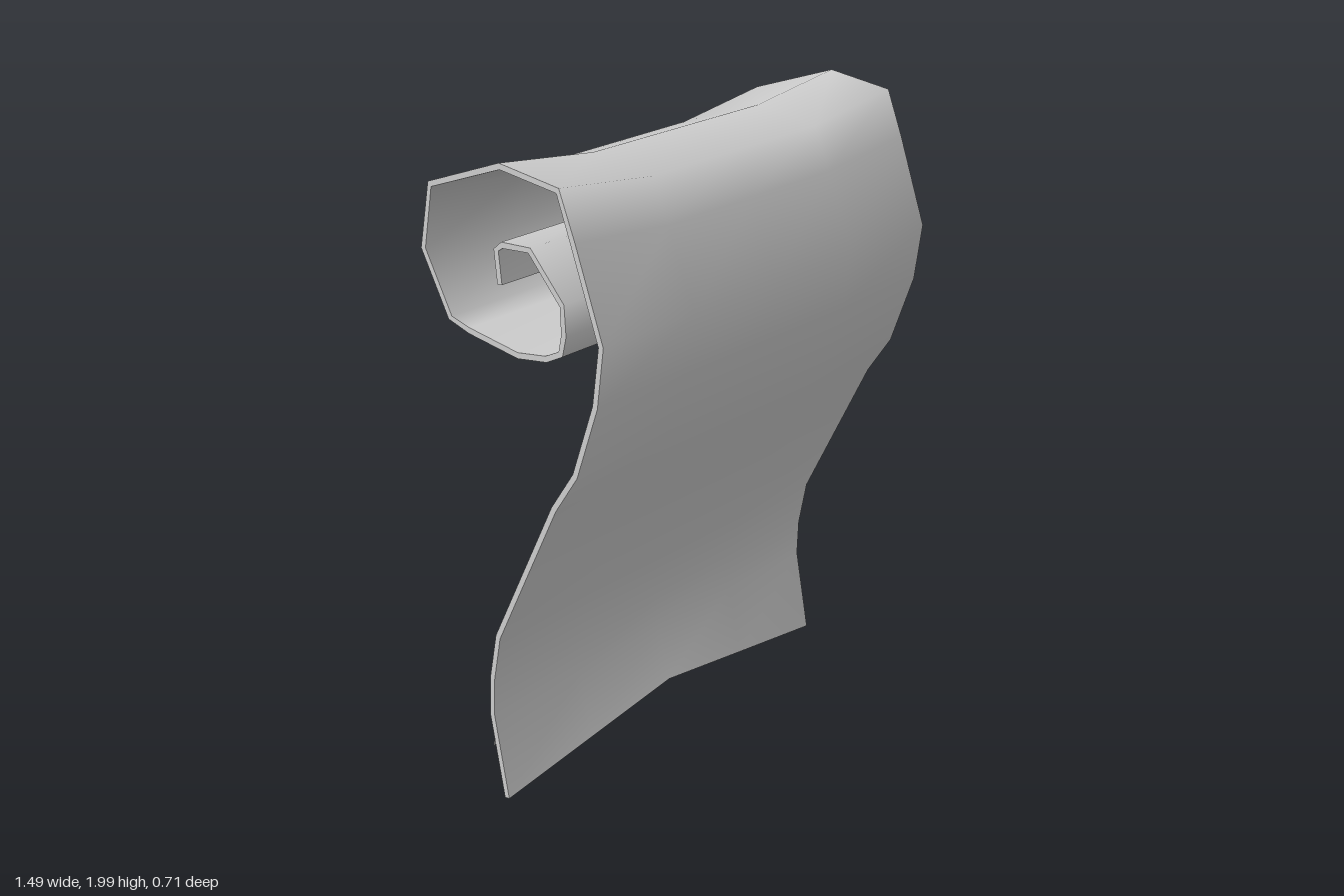
import * as THREE from 'three';
import { mergeGeometries, toCreasedNormals } from 'three/addons/utils/BufferGeometryUtils.js';

// Surface through rows of points; front side is (column direction) x (row direction)
function grid(rows) {
  const n = rows[0].length, index = [];
  for (let i = 0; i < rows.length - 1; i++) {
    for (let j = 0; j < n - 1; j++) {
      const a = i * n + j, b = a + 1, c = a + n, d = c + 1;
      index.push(a, b, d, a, d, c);
    }
  }
  const g = new THREE.BufferGeometry();
  g.setAttribute('position', new THREE.Float32BufferAttribute(rows.flat(2), 3));
  g.setIndex(index);
  g.computeVertexNormals();
  return g;
}

// Side profile of the parchment as [z, y], from the lower edge up into the curl
const PROFILE = [
  [-0.065, 0.01], [-0.115, 0.28], [-0.11, 0.4], [-0.08, 0.55], [0.035, 0.78],
  [0.16, 1.03], [0.245, 1.155], [0.325, 1.38], [0.35, 1.56], [0.255, 1.83],
  [0.2, 1.97], [-0.02, 2.0], [-0.31, 1.9], [-0.35, 1.7], [-0.25, 1.51],
  [-0.16, 1.485], [0.03, 1.455], [0.14, 1.47], [0.2, 1.5], [0.215, 1.56],
  [0.21, 1.65], [0.09, 1.785], [-0.02, 1.78], [-0.05, 1.755], [-0.04, 1.655],
];
const COLUMNS = [-0.745, -0.37, 0, 0.37, 0.745];
const THICKNESS = 0.018;

function sheetGeometry() {
  const outer = [], inner = [];
  PROFILE.forEach(([z, y], i) => {
    const a = PROFILE[Math.max(i - 1, 0)], b = PROFILE[Math.min(i + 1, PROFILE.length - 1)];
    const len = Math.hypot(b[0] - a[0], b[1] - a[1]);
    const nz = (b[1] - a[1]) / len, ny = -(b[0] - a[0]) / len;
    const o = [], n = [];
    COLUMNS.forEach((x, j) => {
      const middle = 1 - Math.abs(j - 2) / 2;
      // lower edge arches up, top of the roll sags, back of the roll skews
      let dy = 0, dz = 0;
      if (i === 0) dy = 0.1 * middle;
      if (i >= 9 && i <= 13) dy = -0.045 * Math.min(1, middle * 2) * THREE.MathUtils.clamp((y - 1.6) / 0.3, 0, 1);
      if (i >= 12 && i <= 14) dz = -0.01 * x / 0.745;
      o.push([x, y + dy, z + dz]);
      n.push([x, y + dy - ny * THICKNESS, z + dz - nz * THICKNESS]);
    });
    outer.push(o);
    inner.push(n);
  });
  const end = PROFILE.length - 1, right = COLUMNS.length - 1;
  return mergeGeometries([
    grid(outer),
    grid(inner.map((r) => [...r].reverse())),
    grid(outer.map((r, i) => [inner[i][0], r[0]])),
    grid(outer.map((r, i) => [r[right], inner[i][right]])),
    grid([inner[0], outer[0]]),
    grid([outer[end], inner[end]]),
  ]);
}

// Pressed wax disc with an uneven raised rim
function sealGeometry() {
  const profile = [[0, -0.005], [0.18, -0.005], [0.205, 0.008], [0.2, 0.026], [0.18, 0.034],
    [0.165, 0.03], [0.155, 0.016], [0, 0.016]].map(([r, y]) => new THREE.Vector2(r, y));
  const g = new THREE.LatheGeometry(profile, 32);
  const p = g.attributes.position;
  for (let i = 0; i < p.count; i++) {
    const x = p.getX(i), z = p.getZ(i), r = Math.hypot(x, z);
    if (r < 0.17) continue;
    const a = Math.atan2(z, x);
    const k = 1 + 0.05 * Math.sin(5 * a + 0.6) + 0.03 * Math.cos(2 * a + 1);
    p.setX(i, x * k);
    p.setZ(i, z * k);
  }
  return toCreasedNormals(g, 0.6);
}

// Fork-tailed ribbon, bent outward below the seal
function ribbonGeometry(side) {
  const at = (x, y, z) => [-0.485 + side * x, y, z];
  return grid([
    [at(0.0, 0.42, -0.135), at(0.06, 0.42, -0.135), at(0.13, 0.42, -0.135)],
    [at(0.04, 0.3, -0.17), at(0.1, 0.31, -0.165), at(0.16, 0.34, -0.15)],
    [at(0.07, 0.22, -0.19), at(0.135, 0.235, -0.175), at(0.2, 0.25, -0.165)],
    [at(0.115, 0.085, -0.165), at(0.145, 0.18, -0.165), at(0.245, 0.155, -0.14)],
  ]);
}

export function createModel() {
  const group = new THREE.Group();
  const paper = new THREE.MeshStandardMaterial({ color: 0xcccccc, side: THREE.DoubleSide });
  paper.name = 'paleGrey';
  const add = (name, geometry) => {
    const mesh = new THREE.Mesh(geometry, paper);
    mesh.name = name;
    group.add(mesh);
    return mesh;
  };

  add('parchment', sheetGeometry());

  const seal = add('waxSeal', sealGeometry());
  seal.rotation.x = -1.245;
  seal.position.set(-0.48, 0.54, -0.105);

  add('leftRibbon', ribbonGeometry(1));
  add('rightRibbon', ribbonGeometry(-1));
  return group;
}
